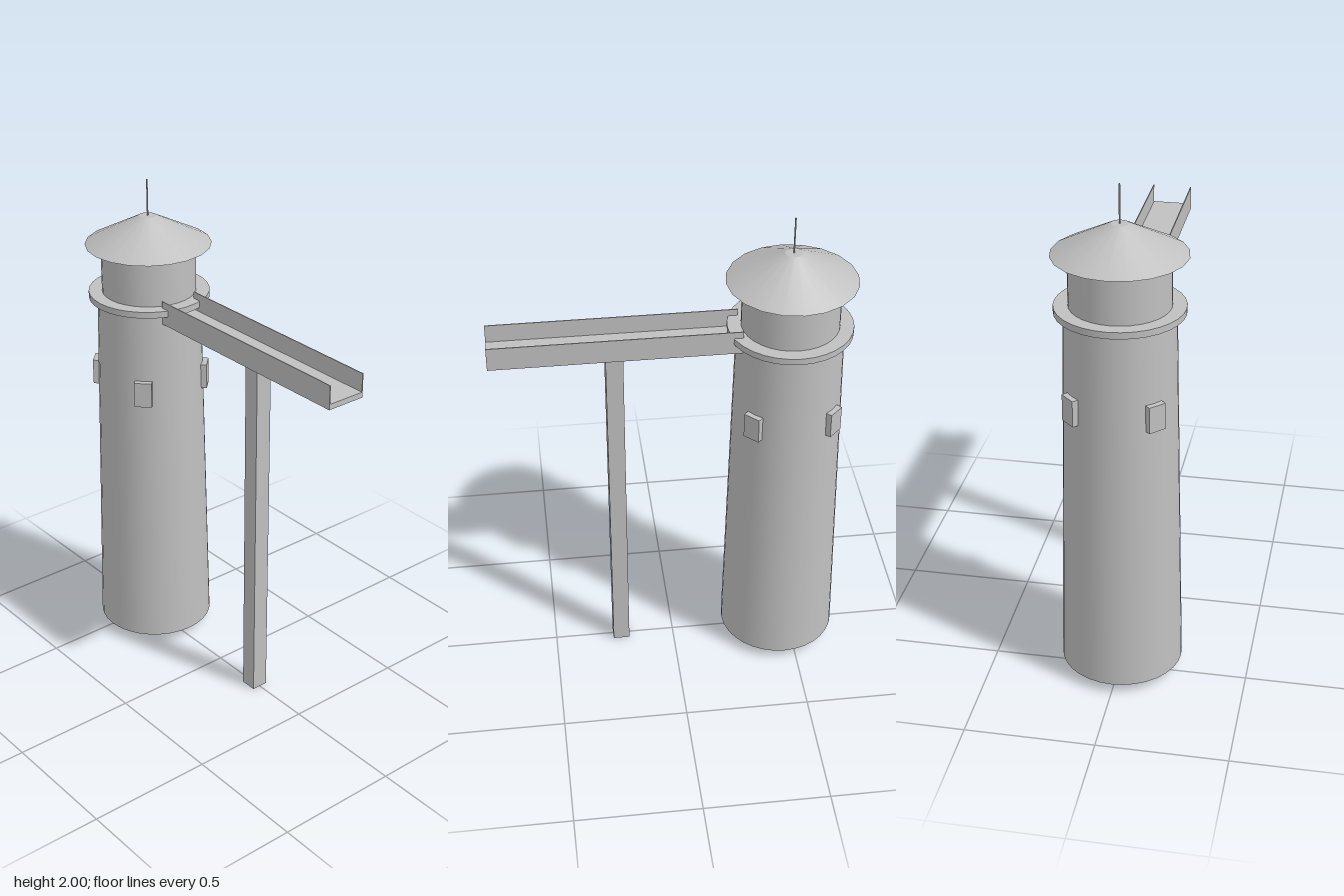
import * as THREE from 'three';

export function createModel() {
  const model = new THREE.Group();
  const grey = new THREE.MeshStandardMaterial({ color: 0xc0c0c0, side: THREE.DoubleSide });
  grey.name = 'plain grey';

  const add = (parent, name, geometry, x = 0, y = 0, z = 0) => {
    const mesh = new THREE.Mesh(geometry, grey);
    mesh.name = name;
    mesh.position.set(x, y, z);
    parent.add(mesh);
    return mesh;
  };
  // Upright round part given by its radii and its bottom and top heights
  const round = (name, rTop, rBottom, y0, y1, sides, open = false) =>
    add(tower, name, new THREE.CylinderGeometry(rTop, rBottom, y1 - y0, sides, 1, open), 0, (y0 + y1) / 2, 0);

  const tower = new THREE.Group();
  tower.name = 'tower';
  tower.position.z = -0.45;
  model.add(tower);

  // Tapered shaft, open at the foot
  round('shaft', 0.206, 0.236, 0.042, 1.525, 32, true);
  round('galleryRing', 0.241, 0.241, 1.52, 1.546, 32);
  round('cabin', 0.188, 0.188, 1.546, 1.74, 32, true);
  round('roof', 0.033, 0.25, 1.74, 1.854, 20);
  round('mast', 0.003, 0.003, 1.854, 2, 8);

  // Four windows on the diagonals
  for (let i = 0; i < 4; i++) {
    const angle = Math.PI / 4 + (i * Math.PI) / 2;
    const r = 0.216;
    const frame = add(tower, 'window', new THREE.BoxGeometry(0.07, 0.104, 0.034),
      Math.sin(angle) * r, 1.184, Math.cos(angle) * r);
    frame.rotation.y = angle;
  }

  // U-shaped chute with thin side walls
  const section = new THREE.Shape([
    [-0.08, 1.478], [0.08, 1.478], [0.08, 1.573], [0.076, 1.573],
    [0.076, 1.5], [-0.076, 1.5], [-0.076, 1.573], [-0.08, 1.573],
  ].map(([x, y]) => new THREE.Vector2(x, y)));
  add(model, 'chute', new THREE.ExtrudeGeometry(section, { depth: 0.96, bevelEnabled: false }), 0, 0, -0.26);

  // Post carrying the chute
  add(model, 'post', new THREE.BoxGeometry(0.067, 1.478, 0.067), 0, 0.739, 0.223);

  return model;
}
